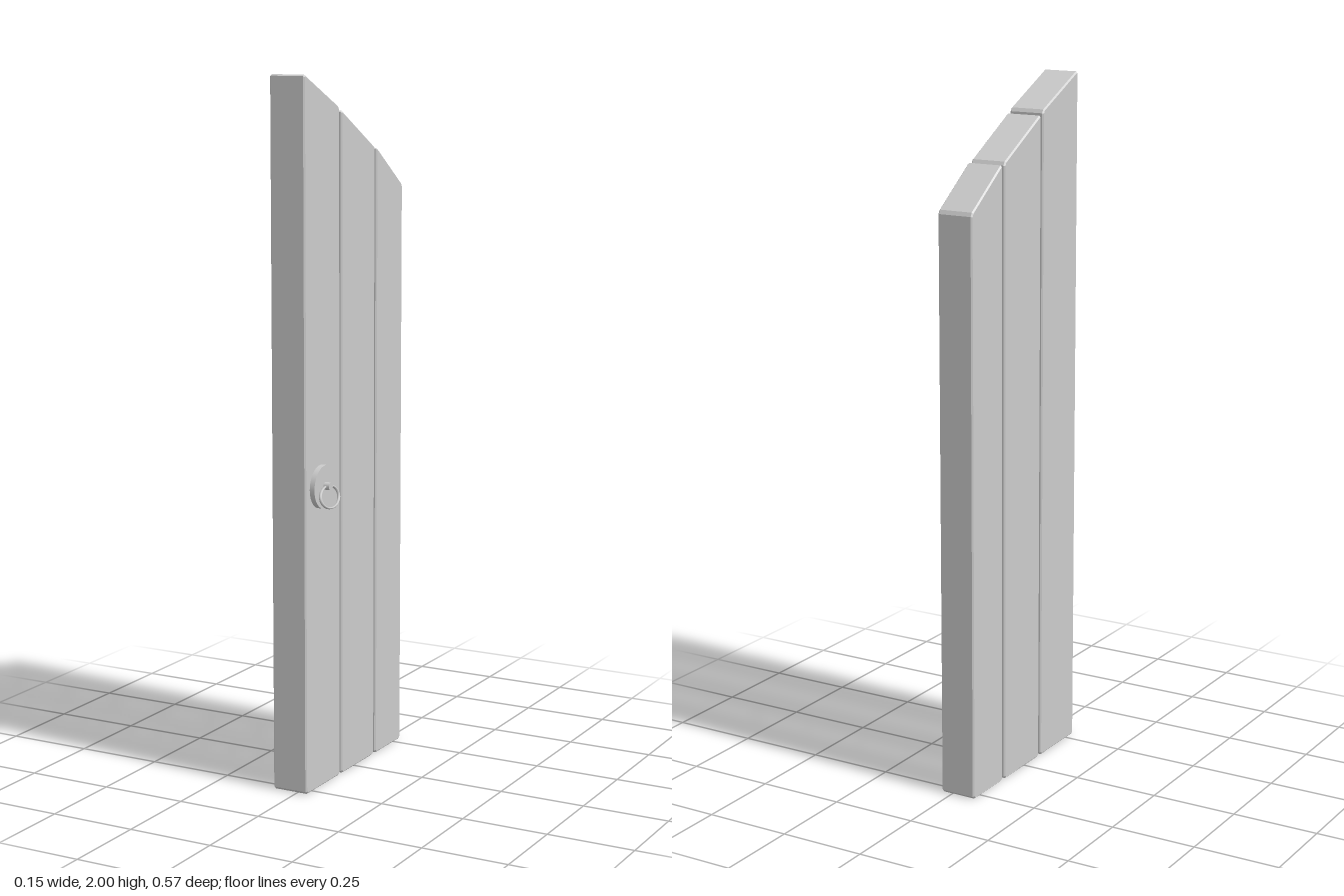
import * as THREE from 'three';

const material = new THREE.MeshStandardMaterial({ color: 0xcccccc });

function part(name, geometry, parent) {
  const mesh = new THREE.Mesh(geometry, material);
  mesh.name = name;
  parent.add(mesh);
  return mesh;
}

// Upright board with a sloping top and chamfered edges; z0 is the taller side.
function plankGeometry(z0, z1, top0, top1) {
  const bevel = 0.004, cut = 0.007, back = -0.075, front = 0.032;
  const corners = [[-z0, 0], [-z1, 0], [-z1, top1], [-z0, top0]]
    .map(([u, v]) => new THREE.Vector2(u, v));
  const outline = [];
  corners.forEach((p, i) => {
    for (const q of [corners[(i + 3) % 4], corners[(i + 1) % 4]]) {
      outline.push(p.clone().add(q.clone().sub(p).setLength(cut)));
    }
  });
  const geometry = new THREE.ExtrudeGeometry(new THREE.Shape(outline), {
    depth: front - back - 2 * bevel,
    bevelThickness: bevel, bevelSize: bevel, bevelOffset: -bevel, bevelSegments: 1,
  });
  return geometry.rotateY(Math.PI / 2).translate(back + bevel, 0, 0);
}

export function createModel() {
  const model = new THREE.Group();
  model.name = 'plankDoor';

  // Three boards stepping down toward the back
  const planks = [
    ['tallPlank', 0.287, 0.09, 2.003, 1.908],
    ['middlePlank', 0.08, -0.118, 1.9, 1.788],
    ['shortPlank', -0.128, -0.288, 1.788, 1.672],
  ];
  for (const [name, ...size] of planks) part(name, plankGeometry(...size), model);

  // Pull handle on the +x face
  const handle = new THREE.Group();
  handle.name = 'handle';
  handle.position.set(0.032, 0.87, 0.203);
  model.add(handle);

  // Round backing plate with a slightly eased rim
  const plate = [[0, -0.002], [0.061, -0.002], [0.061, 0.013], [0.059, 0.015], [0, 0.015]];
  const plateGeometry = new THREE.CylinderGeometry(0.061, 0.061, 0.017, 32);
  plateGeometry.rotateZ(-Math.PI / 2).translate(plate[4][1] - 0.0085, 0, 0);
  part('backPlate', plateGeometry, handle);

  // Stub that holds the ring
  part('ringStub', new THREE.CylinderGeometry(0.011, 0.011, 0.02, 16)
    .rotateZ(-Math.PI / 2).translate(0.023, 0.003, 0), handle);

  // Oval ring hanging from the stub, leaning outward at the bottom
  const ring = part('pullRing', new THREE.TorusGeometry(0.05, 0.0045, 10, 40)
    .scale(1, 0.62, 1).rotateY(Math.PI / 2), handle);
  ring.position.set(0.029, -0.027, 0);
  ring.rotation.z = 0.27;

  return model;
}
